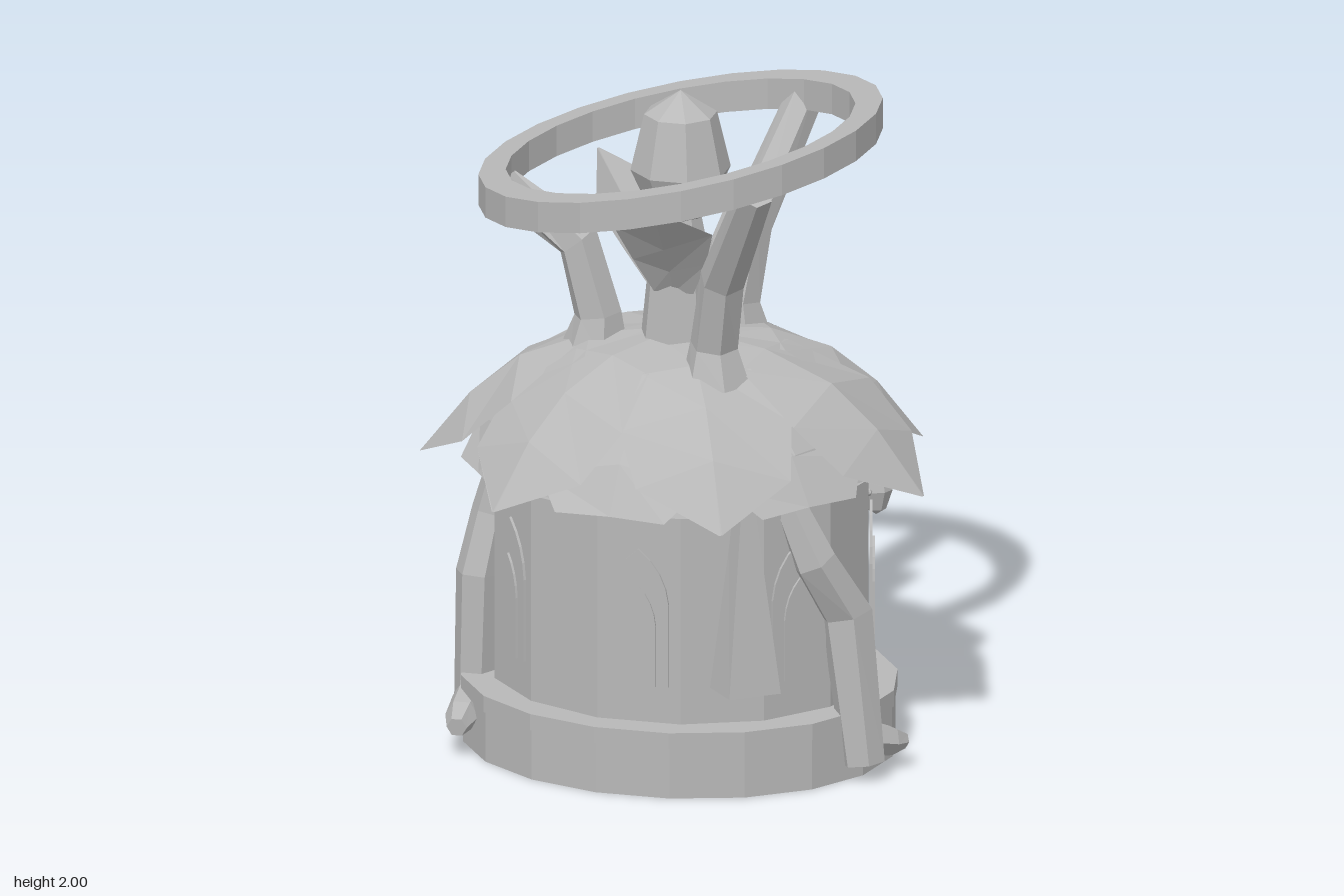
import * as THREE from 'three';

const stone = new THREE.MeshStandardMaterial({ color: 0xb8b8b8, flatShading: true, side: THREE.DoubleSide });
stone.name = 'pale grey';
const V = (x, y, z) => new THREE.Vector3(x, y, z);
const CX = -0.01, CZ = 0.19; // vertical axis of the house
const RX = 0.565, RZ = 0.5, WALL_Z = 0.178, SIDES = 14; // oval wall

function add(parent, name, geometry, x = 0, y = 0, z = 0) {
  const mesh = new THREE.Mesh(geometry, stone);
  mesh.name = name;
  mesh.position.set(x, y, z);
  parent.add(mesh);
  return mesh;
}

// Surface through cross-sections with equal point counts
function loft(rows, closed) {
  const n = rows[0].length, pos = [], idx = [];
  rows.forEach(r => r.forEach(p => pos.push(p.x, p.y, p.z)));
  for (let i = 0; i < rows.length - 1; i++)
    for (let j = 0; j < (closed ? n : n - 1); j++) {
      const a = i * n + j, b = i * n + (j + 1) % n;
      idx.push(a, b, a + n, b, b + n, a + n);
    }
  if (closed) for (let j = 1; j < n - 1; j++) {
    const e = (rows.length - 1) * n;
    idx.push(0, j + 1, j, e, e + j, e + j + 1);
  }
  const g = new THREE.BufferGeometry();
  g.setAttribute('position', new THREE.Float32BufferAttribute(pos, 3));
  g.setIndex(idx);
  g.computeVertexNormals();
  return g;
}

// Faceted branch along points [x, y, z, radius]
function limb(points, sides = 6) {
  const p = points.map(q => V(q[0], q[1], q[2]));
  const rows = p.map((c, i) => {
    const t = p[Math.min(i + 1, p.length - 1)].clone().sub(p[Math.max(i - 1, 0)]).normalize();
    const ref = Math.abs(t.y) > 0.7 ? V(0, 0, 1) : V(0, 1, 0);
    const u = ref.clone().addScaledVector(t, -ref.dot(t)).normalize();
    const v = t.clone().cross(u);
    return Array.from({ length: sides }, (_, k) => {
      const a = (k + 0.5) / sides * Math.PI * 2;
      return c.clone().addScaledVector(u, Math.cos(a) * points[i][3]).addScaledVector(v, Math.sin(a) * points[i][3]);
    });
  });
  return loft(rows, true);
}

const lathe = (profile, sides, start = 0) =>
  new THREE.LatheGeometry(profile.map(p => new THREE.Vector2(...p)), sides, start);

// Leaf along +x; rows are [reach, height, half width, edge drop]
const leaf = rows => loft(rows.map(([r, y, w, d]) => [V(r, y - d, -w), V(r, y, 0), V(r, y - d, w)]), false);

// Pointed arch plate
function arch(w, h) {
  const s = new THREE.Shape();
  s.moveTo(-w / 2, 0).lineTo(w / 2, 0).lineTo(w / 2, h * 0.6);
  s.quadraticCurveTo(w * 0.45, h * 0.85, 0, h).quadraticCurveTo(-w * 0.45, h * 0.85, -w / 2, h * 0.6);
  return new THREE.ExtrudeGeometry(s, { depth: 0.008, bevelEnabled: false, curveSegments: 4 });
}

// Group on the wall facet at an angle from the front
function onWall(parent, name, a) {
  const g = new THREE.Group(), h = Math.cos(Math.PI / SIDES);
  g.name = name;
  g.position.set(CX + RX * h * Math.sin(a), 0, WALL_Z + RZ * h * Math.cos(a));
  g.rotation.y = Math.atan2(Math.sin(a) / RX, Math.cos(a) / RZ);
  parent.add(g);
  return g;
}

function drum(parent, name, rx, rz, y0, y1, z, sides) {
  const g = new THREE.CylinderGeometry(1, 1, y1 - y0, sides, 1, false, Math.PI / sides);
  g.scale(rx, 1, rz);
  return add(parent, name, g, CX, (y0 + y1) / 2, z);
}

export function createModel() {
  const model = new THREE.Group();
  model.name = 'mushroomHouse';

  // Plinth and wall
  drum(model, 'plinth', 0.645, 0.545, 0, 0.155, 0.205, 18);
  drum(model, 'plinthRim', 0.65, 0.555, 0.155, 0.205, 0.205, 18);
  drum(model, 'wall', RX, RZ, 0.2, 0.84, WALL_Z, SIDES);

  // Steps with clipped corners
  [[0.322, -0.835, 0.07], [0.304, -0.725, 0.135], [0.288, -0.615, 0.2]].forEach(([w, z, top], i) => {
    const s = new THREE.Shape(), c = 0.085;
    s.moveTo(-w, -0.2).lineTo(-w, z + c).lineTo(-w + c, z).lineTo(w - c, z).lineTo(w, z + c).lineTo(w, -0.2);
    const g = new THREE.ExtrudeGeometry(s, { depth: 0.068, bevelEnabled: false });
    g.rotateX(Math.PI / 2);
    add(model, 'step' + (i + 1), g, -0.01, top, 0);
  });

  // Windows and door
  [0, 2, 4, -2, -4].forEach(k => {
    const w = onWall(model, 'window', k * 2 * Math.PI / SIDES);
    add(w, 'windowFrame', arch(0.185, 0.42), 0, 0.32, 0.004);
    add(w, 'windowPane', arch(0.11, 0.31), 0, 0.32, 0.011);
  });
  const door = onWall(model, 'door', Math.PI);
  add(door, 'doorPanel', arch(0.33, 0.56), 0, 0.2, 0.004);
  [0.03, 0.08].forEach(x => add(door, 'doorKnob', new THREE.IcosahedronGeometry(0.014), x, 0.43, 0.02));
  [-0.01, -0.13].forEach(z => [1, -1].forEach(s =>
    add(model, 'wallPeg', new THREE.IcosahedronGeometry(0.013), CX + s * (z < -0.1 ? 0.44 : 0.515), 0.735, z)));

  // Roots hugging the wall, some with a toe
  const roots = {
    rightRoot: [[0.39, 0.86, 0.48, 0.05], [0.47, 0.68, 0.475, 0.068], [0.545, 0.5, 0.39, 0.08], [0.605, 0.05, 0.42, 0.065]],
    rightToe: [[0.59, 0.12, 0.4, 0.06], [0.66, 0.09, 0.32, 0.045], [0.69, 0.08, 0.28, 0.025]],
    leftRoot: [[-0.52, 0.86, 0.27, 0.045], [-0.56, 0.68, 0.27, 0.06], [-0.59, 0.5, 0.31, 0.068], [-0.6, 0.05, 0.32, 0.062]],
    leftToe: [[-0.6, 0.12, 0.34, 0.06], [-0.595, 0.11, 0.48, 0.05], [-0.59, 0.1, 0.56, 0.03]],
    backRightRoot: [[0.26, 0.84, -0.26, 0.04], [0.25, 0.62, -0.31, 0.058], [0.23, 0.45, -0.39, 0.068], [0.21, 0.12, -0.41, 0.062]],
    backLeftRoot: [[-0.34, 0.84, -0.24, 0.04], [-0.39, 0.62, -0.29, 0.058], [-0.44, 0.44, -0.36, 0.068], [-0.46, 0.05, -0.39, 0.065]],
    backLeftToe: [[-0.47, 0.12, -0.38, 0.055], [-0.53, 0.09, -0.34, 0.042], [-0.57, 0.08, -0.31, 0.025]],
  };
  for (const [name, points] of Object.entries(roots)) add(model, name, limb(points));

  // Hanging lanterns beside the door
  [1, -1].forEach(s => {
    add(model, 'lanternHook', limb([[s * 0.33, 0.6, -0.27, 0.022], [s * 0.37, 0.72, -0.33, 0.018],
      [s * 0.41, 0.735, -0.37, 0.015], [s * 0.432, 0.68, -0.38, 0.012]], 5));
    const profile = [[0, 0.54], [0.03, 0.56], [0.05, 0.62], [0.035, 0.68], [0, 0.7]];
    add(model, 'lantern', lathe(profile, 8), s * 0.432, 0, -0.378);
  });

  // Three buttresses that widen downwards
  [[54, 0.93], [180, 0.98], [-58, 0.86]].forEach(([deg, reach]) => {
    const g = loft([[0.49, 0.59, 0.026, 0.87], [0.49, 0.65, 0.095, 0.315]].map(([r0, r1, w, y]) =>
      [V(r0, y, -w), V(r1, y, -w * 0.85), V(r1, y, w * 0.85), V(r0, y, w)]), true);
    const b = add(model, 'buttress', g, CX, 0, CZ);
    b.rotation.y = -deg * Math.PI / 180;
    b.scale.x = reach;
  });

  // Roof cap with two layers of leaves
  const roof = new THREE.Group();
  roof.name = 'roof';
  roof.position.set(CX, 0, 0.175);
  model.add(roof);
  const cap = lathe([[0, 1.25], [0.2, 1.235], [0.42, 1.145], [0.55, 1.01], [0.605, 0.88]], 14);
  add(roof, 'roofCap', cap).scale.z = 0.95;
  const tips = [[11, 0.785], [66, 0.71], [124, 0.735], [171, 0.77], [219, 0.75], [270, 0.73], [329, 0.735]];
  tips.forEach(([deg, r], i) => {
    const over = add(roof, 'upperLeaf', leaf([[0.1, 1.255, 0.06, 0.005], [0.27, 1.235, 0.16, 0.02],
      [r * 0.62, 1.16, 0.255, 0.06], [r * 0.81, 1.04, 0.23, 0.075], [r, 0.855, 0.005, 0]]));
    over.rotation.y = -deg * Math.PI / 180;
    const next = i < 6 ? tips[i + 1][0] : 371;
    const under = add(roof, 'lowerLeaf', leaf([[0.2, 1.22, 0.1, 0.01], [0.4, 1.135, 0.22, 0.04],
      [0.54, 1.01, 0.25, 0.05], [0.625, 0.875, 0.17, 0.005]]));
    under.rotation.y = -(deg + next) / 2 * Math.PI / 180;
  });
  add(model, 'innerPost', new THREE.CylinderGeometry(0.06, 0.06, 0.42, 8), CX + 0.06, 1.03, CZ);

  // Central stem and bud
  add(model, 'stem', new THREE.CylinderGeometry(0.088, 0.118, 0.3, 8), CX - 0.005, 1.35, CZ);
  add(model, 'stemNeck', new THREE.CylinderGeometry(0.06, 0.088, 0.14, 8), CX, 1.565, CZ);
  const bud = [[0, 1.58], [0.09, 1.63], [0.148, 1.76], [0.108, 1.93], [0, 2]];
  add(model, 'bud', lathe(bud, 8, Math.PI / 8), CX, 0, CZ);

  // Three cupped leaves below the bud
  [90, 210, 330].forEach(deg => {
    const m = add(model, 'budLeaf', leaf([[0.08, 1.4, 0.06, 0], [0.13, 1.48, 0.11, -0.03],
      [0.2, 1.57, 0.15, -0.06], [0.34, 1.74, 0.004, 0]]), CX, 0, CZ);
    m.rotation.y = -deg * Math.PI / 180;
  });

  // Slanted ring with upright walls, on three bent arms
  const slope = 0.205;
  const ring = lathe([[0.512, -0.047], [0.592, -0.047], [0.592, 0.047], [0.512, 0.047], [0.512, -0.047]], 24);
  ring.applyMatrix4(new THREE.Matrix4().makeShear(slope, 0, 0, 0, 0, 0));
  add(model, 'ring', ring, CX, 1.81, CZ);
  [52, 180, -64].forEach(deg => {
    const c = Math.cos(deg * Math.PI / 180), s = Math.sin(deg * Math.PI / 180);
    const top = 1.785 + slope * 0.555 * c;
    add(model, 'ringArm', limb([[0.26, 1.17, 0.105], [0.25, 1.29, 0.072], [0.31, 1.51, 0.068], [0.555, top, 0.055]]
      .map(([r, y, w]) => [CX + c * r, y, CZ + s * r, w])));
  });

  return model;
}
